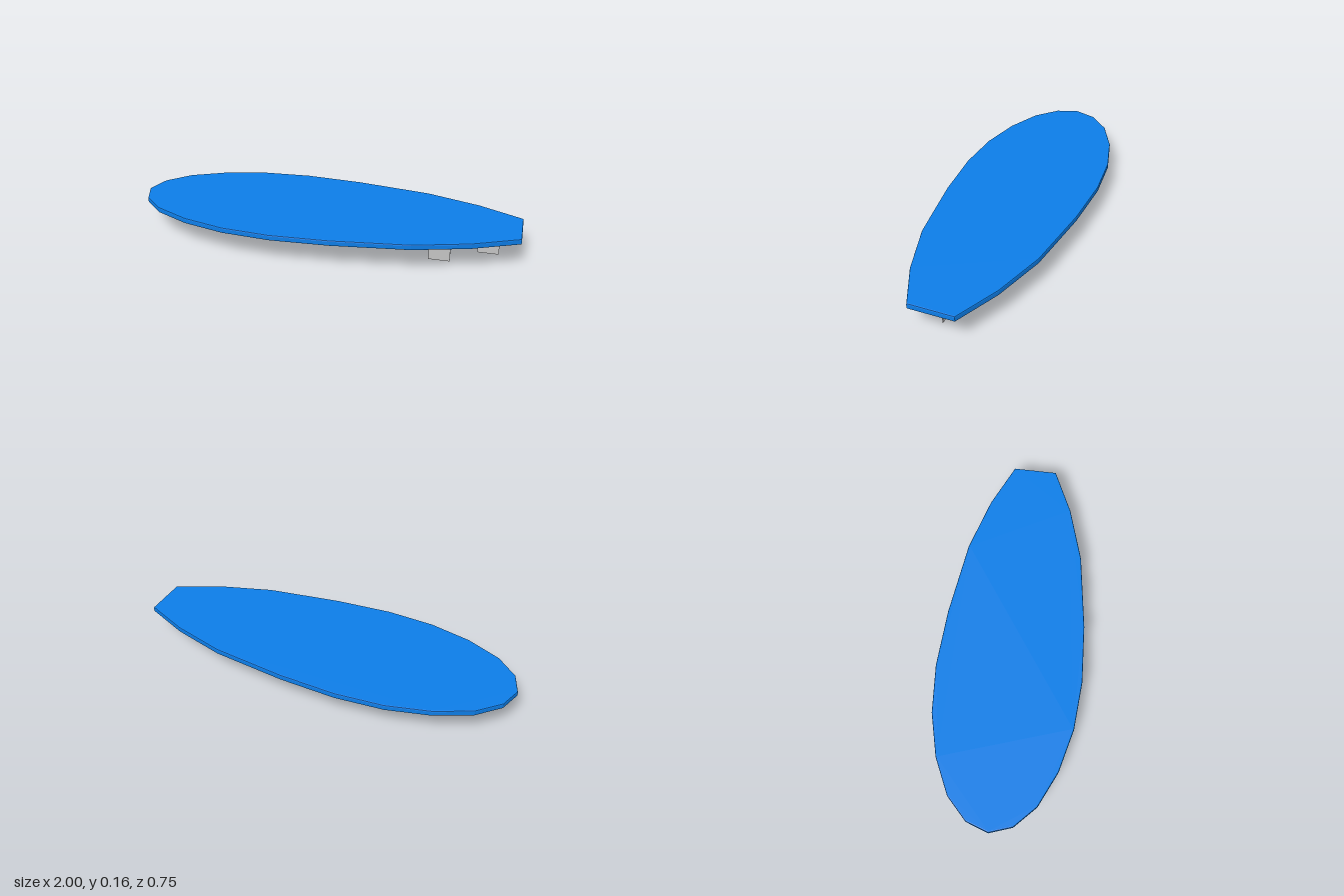
import * as THREE from 'three';

export function createModel() {
  const group = new THREE.Group();
  group.name = 'surfboard';
  const blue = new THREE.MeshStandardMaterial({ color: 0x0d7ee8, flatShading: true });
  const grey = new THREE.MeshStandardMaterial({ color: 0xcccccc, flatShading: true });

  // Half outline from nose (-x) to squared tail (+x), mirrored across the centre line
  const half = [
    [-0.96, 0.115], [-0.85, 0.22], [-0.67, 0.304], [-0.45, 0.358], [-0.2, 0.376],
    [0.1, 0.358], [0.49, 0.304], [0.77, 0.22], [1, 0.115],
  ].map(([x, z]) => new THREE.Vector2(x, z));
  const mirrored = half.map((p) => new THREE.Vector2(p.x, -p.y));
  const outline = [new THREE.Vector2(-1, 0), ...mirrored, ...half.reverse()];

  // Deck: thin slab with a small rounded rail
  const bottom = 0.131, top = 0.161, rail = 0.006;
  const deckGeometry = new THREE.ExtrudeGeometry(new THREE.Shape(outline), {
    depth: top - bottom - 2 * rail,
    bevelEnabled: true, bevelThickness: rail, bevelSize: rail, bevelOffset: -rail, bevelSegments: 2,
  });
  deckGeometry.rotateX(-Math.PI / 2).translate(0, bottom + rail, 0);
  const deck = new THREE.Mesh(deckGeometry, blue);
  deck.name = 'deck';
  group.add(deck);

  // Fins: wedges running lengthwise, tapering to a sharp lower edge
  const finLength = 0.107, finHeight = 0.135;
  const wedge = new THREE.Shape([
    new THREE.Vector2(0, 0), new THREE.Vector2(0.013, finHeight), new THREE.Vector2(-0.013, finHeight),
  ]);
  const finGeometry = new THREE.ExtrudeGeometry(wedge, { depth: finLength, bevelEnabled: false });
  finGeometry.translate(0, 0, -finLength / 2).rotateY(Math.PI / 2);
  for (const [name, x, z] of [
    ['centreFin', 0.843, 0], ['frontSideFin', 0.61, 0.131], ['backSideFin', 0.61, -0.131],
  ]) {
    const fin = new THREE.Mesh(finGeometry, grey);
    fin.name = name;
    fin.position.set(x, 0, z);
    group.add(fin);
  }
  return group;
}
